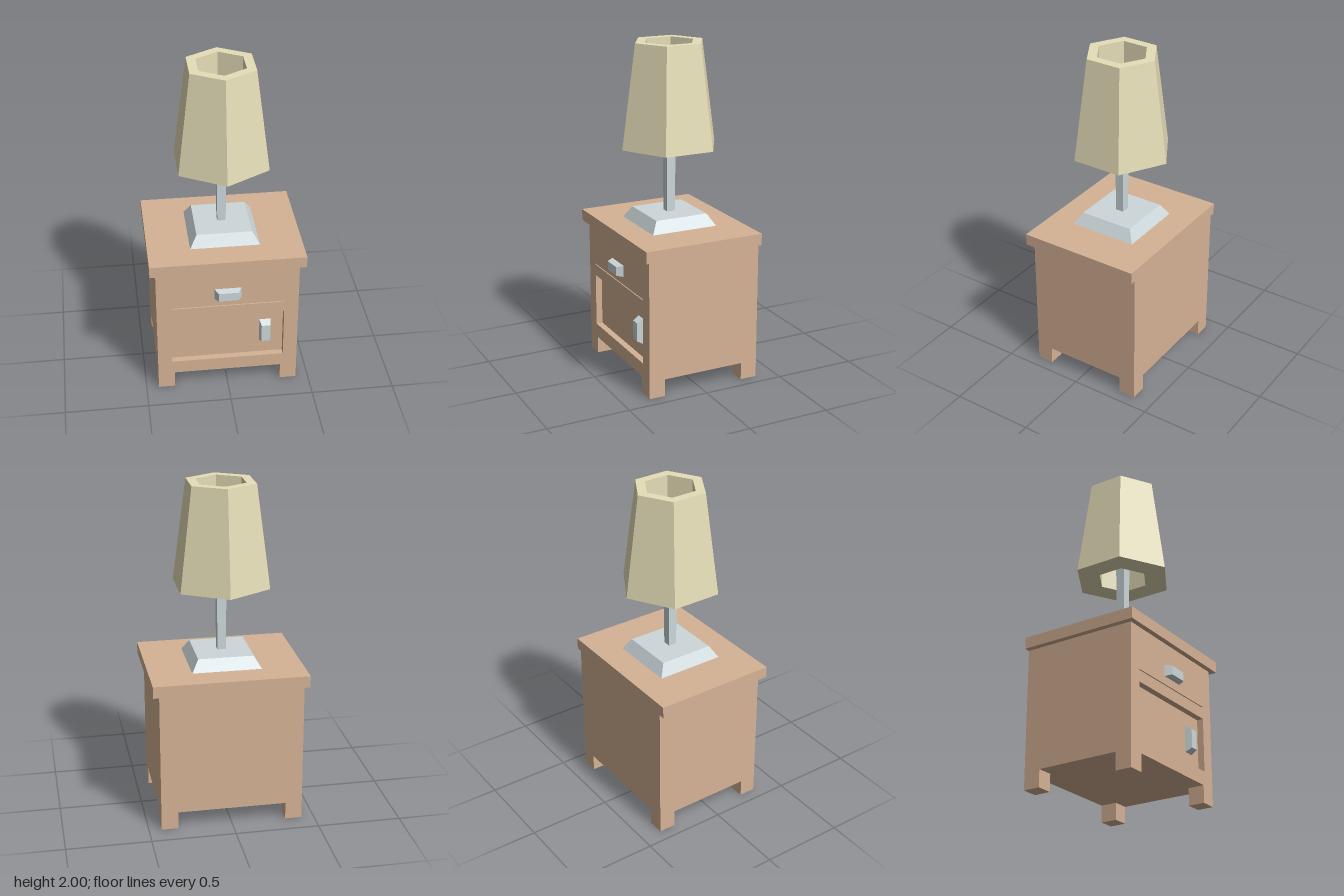
import * as THREE from 'three';

const material = (color) =>
  new THREE.MeshStandardMaterial({ color, flatShading: true });

export function createModel() {
  const model = new THREE.Group();
  const wood = material(0xd6b395);
  const metal = material(0xcdd8db);
  const cream = material(0xe6deb8);

  const add = (parent, name, geometry, mat, x = 0, y = 0, z = 0) => {
    const mesh = new THREE.Mesh(geometry, mat);
    mesh.name = name;
    mesh.position.set(x, y, z);
    parent.add(mesh);
    return mesh;
  };

  // Box given by its limits on each axis
  const block = (parent, name, x0, x1, y0, y1, z0, z1) =>
    add(parent, name, new THREE.BoxGeometry(x1 - x0, y1 - y0, z1 - z0), wood,
      (x0 + x1) / 2, (y0 + y1) / 2, (z0 + z1) / 2);

  // Box standing on its origin, tapering along +y to a top of size w2 x d2
  const frustum = (w, d, w2, d2, h) => {
    const g = new THREE.BoxGeometry(w, h, d).translate(0, h / 2, 0);
    const p = g.attributes.position;
    for (let i = 0; i < p.count; i++) {
      if (p.getY(i) > h / 2) {
        p.setX(i, Math.sign(p.getX(i)) * w2 / 2);
        p.setZ(i, Math.sign(p.getZ(i)) * d2 / 2);
      }
    }
    g.computeVertexNormals();
    return g;
  };

  // ---- Nightstand ----
  const stand = new THREE.Group();
  stand.name = 'nightstand';
  model.add(stand);

  const front = 0.335, back = -0.375, recess = 0.04;
  block(stand, 'tabletop', -0.46, 0.46, 0.845, 0.915, back, 0.367);
  block(stand, 'cabinetBody', -0.425, 0.425, 0.105, 0.845, back, front - recess);

  // Front frame with the door recess and the slit under the drawer
  const rect = (Type, x, y0, y1) => new Type([
    new THREE.Vector2(-x, y0), new THREE.Vector2(x, y0),
    new THREE.Vector2(x, y1), new THREE.Vector2(-x, y1),
  ]);
  const frame = rect(THREE.Shape, 0.425, 0.105, 0.845);
  frame.holes.push(
    rect(THREE.Path, 0.34, 0.19, 0.515),
    rect(THREE.Path, 0.34, 0.584, 0.59),
  );
  add(stand, 'frontFrame',
    new THREE.ExtrudeGeometry(frame, { depth: recess, bevelEnabled: false }),
    wood, 0, 0, front - recess);

  // Four corner legs
  for (const [side, x] of [['Left', 0.325], ['Right', -0.425]]) {
    block(stand, 'front' + side + 'Leg', x, x + 0.1, 0, 0.105, front - 0.1, front);
    block(stand, 'back' + side + 'Leg', x, x + 0.1, 0, 0.105, back, back + 0.103);
  }

  // Handles taper towards the front
  const drawerHandle = frustum(0.16, 0.07, 0.118, 0.054, 0.04).rotateX(Math.PI / 2);
  add(stand, 'drawerHandle', drawerHandle, metal, 0, 0.675, front);
  const doorHandle = frustum(0.07, 0.158, 0.052, 0.114, 0.04).rotateX(Math.PI / 2);
  add(stand, 'doorHandle', doorHandle, metal, 0.232, 0.355, front - recess);

  // ---- Lamp ----
  const lamp = new THREE.Group();
  lamp.name = 'lamp';
  lamp.position.z = -0.004;
  model.add(lamp);

  add(lamp, 'lampBase', frustum(0.414, 0.414, 0.33, 0.33, 0.07), metal, 0, 0.915);
  add(lamp, 'lampStem', frustum(0.05, 0.05, 0.062, 0.062, 0.67), metal, 0, 0.98);

  // Thick six-sided shade with a straight hole through it
  const profile = [
    [0.155, 1.385], [0.303, 1.385], [0.216, 2], [0.155, 2], [0.155, 1.385],
  ].map(([r, y]) => new THREE.Vector2(r, y));
  add(lamp, 'lampShade', new THREE.LatheGeometry(profile, 6), cream);

  return model;
}
